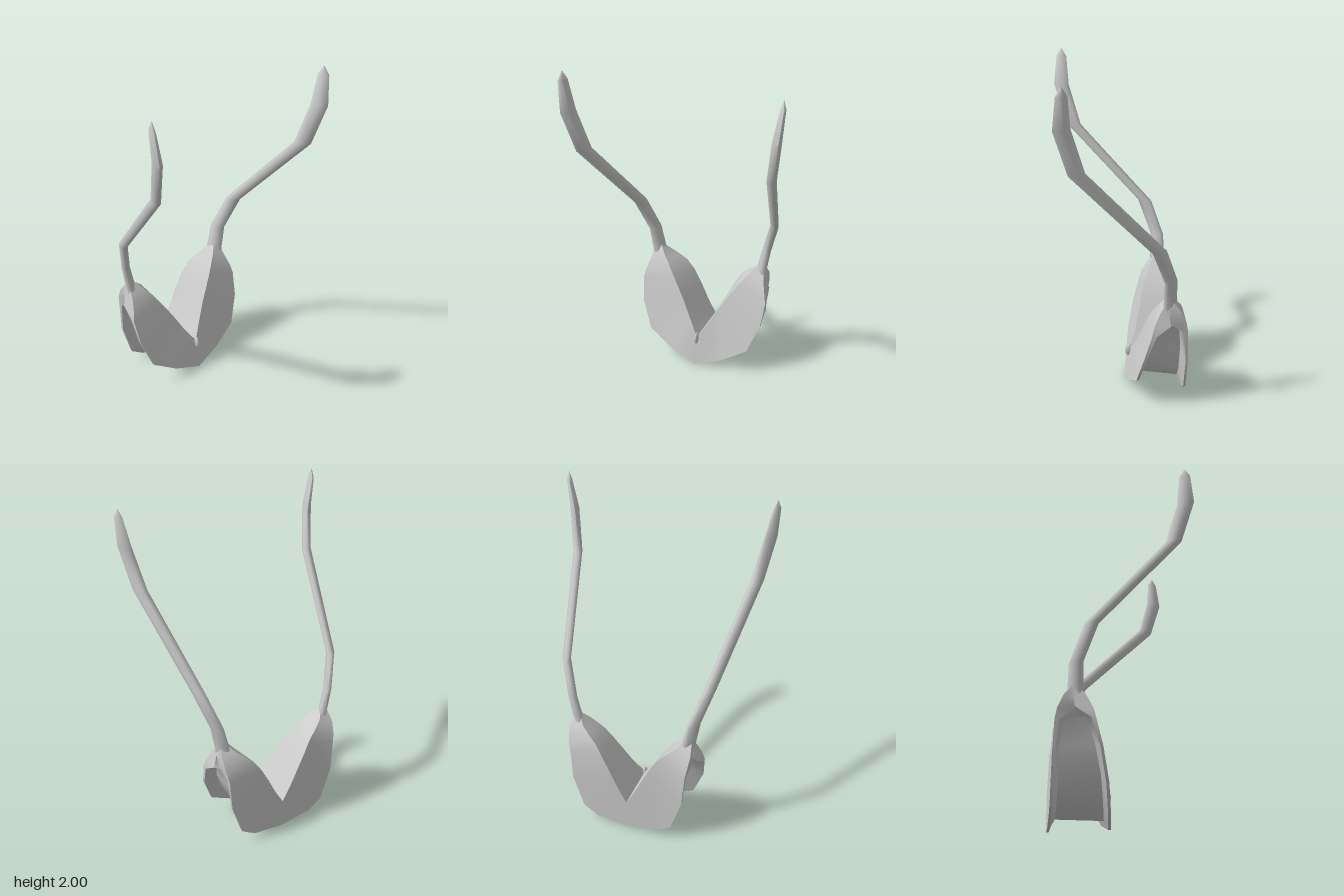
import * as THREE from 'three';
import { toCreasedNormals } from 'three/addons/utils/BufferGeometryUtils.js';

const material = new THREE.MeshStandardMaterial({ color: 0xcccccc, side: THREE.DoubleSide });
const lerp = THREE.MathUtils.lerp;

// Skin a row of closed cross-sections, each a list of [x, y, z].
function loft(rings, crease) {
  const n = rings[0].length, index = [];
  for (let i = 0; i < rings.length - 1; i++) {
    for (let j = 0; j < n; j++) {
      const k = (j + 1) % n;
      const a = i * n + j, b = i * n + k, c = b + n, d = a + n;
      index.push(a, d, c, a, c, b);
    }
  }
  const g = new THREE.BufferGeometry();
  g.setAttribute('position', new THREE.Float32BufferAttribute(rings.flat(2), 3));
  g.setIndex(index);
  return toCreasedNormals(g, crease);
}

function part(name, geometry) {
  const mesh = new THREE.Mesh(geometry, material);
  mesh.name = name;
  return mesh;
}

// Half of the V-shaped body, from the middle up to the root of a stalk:
// inner front and back edge, outer front and back rim (x, y, z),
// groove depth as a share of the width, and how far the groove has closed.
const stations = [
  { iF: [0, 0.2, -0.06], iB: [0, 0.2, -0.38], oF: [0, 0.005, -0.03], oB: [0, 0.005, -0.38], depth: 0.25, close: 0 },
  { iF: [0.065, 0.3, -0.1], iB: [0.055, 0.3, -0.38], oF: [0.18, 0.07, -0.05], oB: [0.2, 0.03, -0.38], depth: 0.25, close: 0 },
  { iF: [0.125, 0.41, -0.13], iB: [0.105, 0.41, -0.38], oF: [0.34, 0.17, -0.075], oB: [0.29, 0.09, -0.38], depth: 0.28, close: 0 },
  { iF: [0.18, 0.5, -0.152], iB: [0.155, 0.51, -0.375], oF: [0.41, 0.35, -0.115], oB: [0.357, 0.3, -0.38], depth: 0.32, close: 0 },
  { iF: [0.225, 0.57, -0.172], iB: [0.2, 0.58, -0.36], oF: [0.425, 0.5, -0.155], oB: [0.37, 0.5, -0.373], depth: 0.32, close: 0.12 },
  { iF: [0.262, 0.62, -0.195], iB: [0.25, 0.624, -0.342], oF: [0.412, 0.56, -0.17], oB: [0.38, 0.56, -0.362], depth: 0, close: 1 },
  { iF: [0.3, 0.665, -0.218], iB: [0.3, 0.665, -0.318], oF: [0.39, 0.635, -0.205], oB: [0.388, 0.635, -0.33], depth: 0, close: 0.5 },
  { iF: [0.335, 0.71, -0.25], iB: [0.335, 0.71, -0.28], oF: [0.378, 0.7, -0.25], oB: [0.378, 0.7, -0.28], depth: 0, close: 0.5 },
];

function bodySection({ iF, iB, oF, oB, depth, close }, side) {
  const mid = (oF[2] + oB[2]) / 2;
  const lip = (o, dz) => [o[0], o[1], lerp(o[2] + dz, mid, close)];
  const floor = (o, i, dz) => [
    lerp(o[0], i[0], depth), lerp(o[1], i[1], depth), lerp(o[2] + dz, mid, close)];
  return [
    iF, iB, oB, lip(oB, 0.014), floor(oB, iB, 0.04),
    floor(oF, iF, -0.04), lip(oF, -0.016), oF,
  ].map(([x, y, z]) => [side * x, y, z]);
}

// Stalk levels: x, y, z of the centre, then half widths in x and z.
const stalkLevels = [
  [0.348, 0.63, -0.265, 0.038, 0.046],
  [0.357, 0.69, -0.265, 0.037, 0.043],
  [0.385, 0.83, -0.265, 0.032, 0.041],
  [0.45, 1.04, -0.19, 0.031, 0.043],
  [0.565, 1.53, 0.262, 0.034, 0.047],
  [0.607, 1.775, 0.334, 0.032, 0.048],
  [0.63, 1.95, 0.33, 0.018, 0.032],
  [0.631, 2.0, 0.33, 0.001, 0.001],
];

// Oval ring whose long axis points outward and forward.
function stalkRing([cx, y, cz, rx, rz], side) {
  const ring = [];
  for (let i = 0; i < 8; i++) {
    const a = (i / 8) * Math.PI * 2;
    ring.push([side * cx + rx * Math.cos(a), y, cz + rz * Math.sin(a + 0.5 * side)]);
  }
  return ring;
}

export function createModel() {
  const group = new THREE.Group();
  group.name = 'grooved body with two stalks';

  // Grooved V-shaped body
  const rings = [
    ...stations.slice(1).reverse().map((s) => bodySection(s, -1)),
    ...stations.map((s) => bodySection(s, 1)),
  ];
  group.add(part('body', loft(rings, 1.0)));

  // Small ridge at the front of the notch
  const ridge = part('notchRidge', new THREE.SphereGeometry(1, 8, 6));
  ridge.scale.set(0.012, 0.042, 0.03);
  ridge.position.set(0, 0.19, -0.06);
  group.add(ridge);

  // Bent stalks rising from the shoulders
  for (const [name, side] of [['leftStalk', 1], ['rightStalk', -1]]) {
    group.add(part(name, loft(stalkLevels.map((l) => stalkRing(l, side)), 1.3)));
  }
  return group;
}
